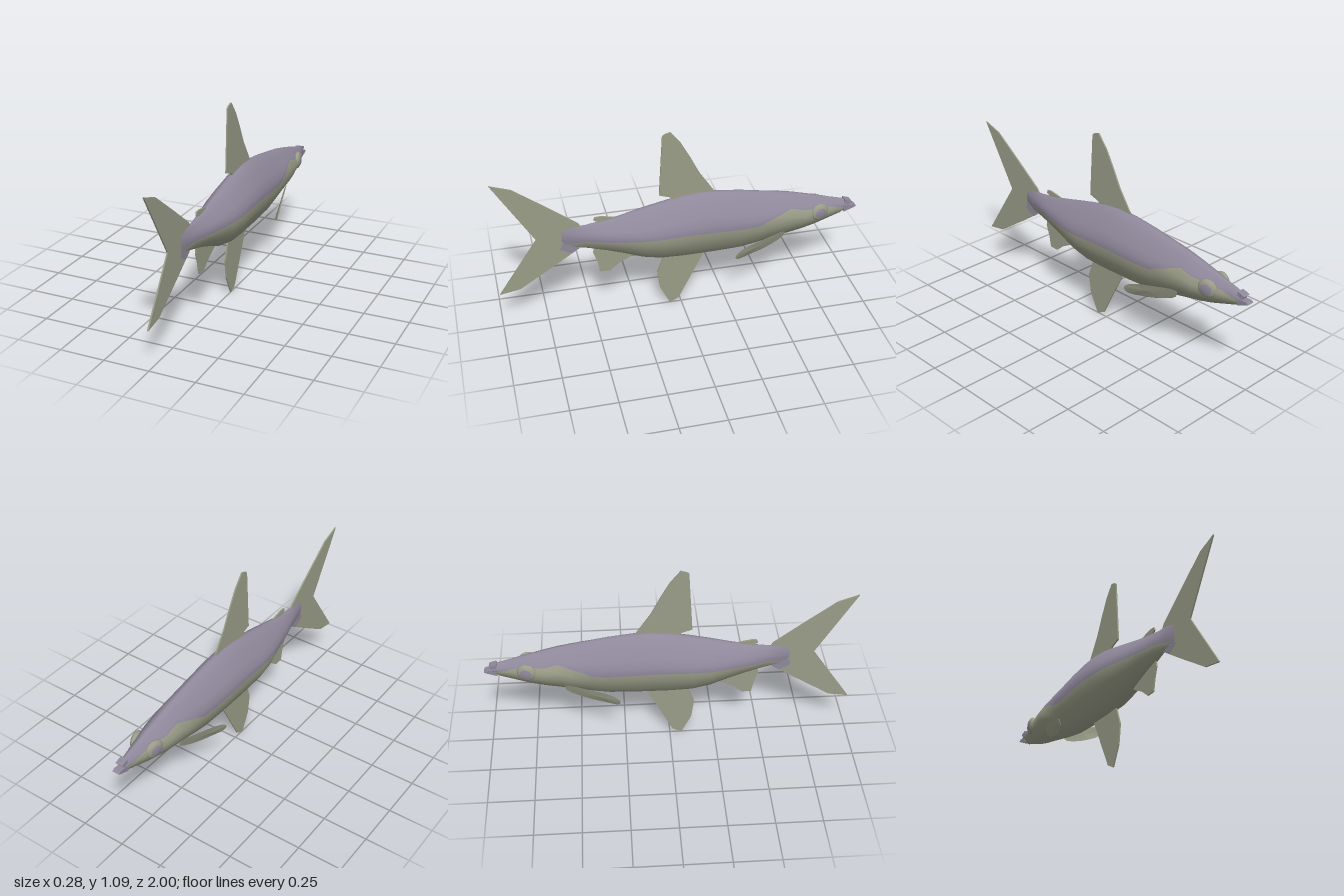
import * as THREE from 'three';

const backColor = new THREE.MeshStandardMaterial({ color: 0x8f889b });
backColor.name = 'mauve back';
const bellyColor = new THREE.MeshStandardMaterial({ color: 0x9a9d88, side: THREE.DoubleSide });
bellyColor.name = 'olive grey belly and fins';

// Straight-line lookup in a short [key, value] table
function lookup(table, k) {
  for (let i = 1; i < table.length; i++) {
    const [k0, v0] = table[i - 1], [k1, v1] = table[i];
    if (k <= k1) return v0 + (v1 - v0) * Math.max(0, (k - k0) / (k1 - k0));
  }
  return table[table.length - 1][1];
}

// Relative width against height above and below the widest line
const UPPER = [[0, 1], [0.17, 0.99], [0.4, 0.8], [0.63, 0.59], [0.86, 0.33], [0.95, 0.2], [1, 0]];
const LOWER = [[0, 1], [0.2, 0.98], [0.4, 0.88], [0.6, 0.69], [0.8, 0.46], [0.93, 0.25], [1, 0]];

// Body stations: z, top, bottom, half width, height of the colour line
const STATIONS = [
  [-0.955, 0.54, 0.485, 0.022, 0.5],
  [-0.91, 0.555, 0.46, 0.03, 0.51],
  [-0.85, 0.57, 0.44, 0.045, 0.53],
  [-0.76, 0.597, 0.41, 0.068, 0.545],
  [-0.68, 0.618, 0.39, 0.083, 0.55],
  [-0.6, 0.638, 0.375, 0.094, 0.572],
  [-0.53, 0.652, 0.36, 0.097, 0.55],
  [-0.47, 0.663, 0.348, 0.1, 0.53],
  [-0.42, 0.672, 0.337, 0.102, 0.505],
  [-0.33, 0.688, 0.322, 0.108, 0.502],
  [-0.2, 0.704, 0.317, 0.114, 0.508],
  [-0.1, 0.709, 0.316, 0.115, 0.512],
  [0, 0.7, 0.316, 0.115, 0.512],
  [0.12, 0.675, 0.322, 0.113, 0.508],
  [0.22, 0.652, 0.345, 0.102, 0.503],
  [0.32, 0.628, 0.385, 0.08, 0.5],
  [0.42, 0.608, 0.42, 0.058, 0.5],
  [0.52, 0.594, 0.448, 0.033, 0.505],
  [0.59, 0.592, 0.465, 0.016, 0.49],
  [0.65, 0.585, 0.49, 0.006, 0.495],
];

// Smooth loft through the stations, back and belly as two material groups
function makeBody() {
  const H = 7, N = 4 * H;
  const pos = [], back = [], belly = [];
  for (const [z, top, bottom, half, split] of STATIONS) {
    const mid = bottom + (top - bottom) * 0.54;
    for (let j = 0; j < N; j++) {
      const side = j <= 2 * H ? 1 : -1;
      const k = side > 0 ? j : N - j;
      const y = k <= H
        ? split + (top - split) * Math.cos((k / H) * Math.PI / 2)
        : split + (bottom - split) * Math.sin(((k - H) / H) * Math.PI / 2);
      const w = y > mid
        ? lookup(UPPER, (y - mid) / (top - mid))
        : lookup(LOWER, (mid - y) / (mid - bottom));
      pos.push(side * half * w, y, z);
    }
  }
  for (let i = 0; i < STATIONS.length - 1; i++) {
    for (let j = 0; j < N; j++) {
      const a = i * N + j, b = i * N + (j + 1) % N, c = a + N, d = b + N;
      (j < H || j >= 3 * H ? back : belly).push(a, c, b, b, c, d);
    }
  }
  // Close both ends
  const last = (STATIONS.length - 1) * N;
  for (let j = 1; j < N - 1; j++) {
    back.push(0, j, j + 1);
    back.push(last, last + j + 1, last + j);
  }
  const g = new THREE.BufferGeometry();
  g.setAttribute('position', new THREE.Float32BufferAttribute(pos, 3));
  g.setIndex([...back, ...belly]);
  g.addGroup(0, back.length, 0);
  g.addGroup(back.length, belly.length, 1);
  g.computeVertexNormals();
  return new THREE.Mesh(g, [backColor, bellyColor]);
}

// Flat plate on the centre plane from a (z, y) outline
function plate(name, outline, thickness, material) {
  const shape = new THREE.Shape(outline.map(([z, y]) => new THREE.Vector2(z, y)));
  const g = new THREE.ExtrudeGeometry(shape, { depth: thickness, bevelEnabled: false });
  g.translate(0, 0, -thickness / 2).rotateY(-Math.PI / 2);
  const mesh = new THREE.Mesh(g, material);
  mesh.name = name;
  return mesh;
}

// Thin side fin, a closed shell around a rounded outline in space
function makePectoral(side) {
  const pts = [
    [0.065, 0.425, -0.57], [0.1, 0.418, -0.45], [0.133, 0.388, -0.31], [0.137, 0.355, -0.275],
    [0.122, 0.325, -0.285], [0.098, 0.32, -0.34], [0.07, 0.345, -0.47], [0.055, 0.385, -0.56],
  ].map(([x, y, z]) => new THREE.Vector3(side * x, y, z));
  const ring = new THREE.CatmullRomCurve3(pts, true).getPoints(24).slice(0, 24);
  const n = ring.length, pos = [], idx = [];
  for (const s of [1, -1]) {
    for (const p of ring) pos.push(p.x + side * s * 0.003, p.y + s * 0.002, p.z);
    pos.push(side * (0.098 + s * 0.005), 0.372 + s * 0.003, -0.41);
  }
  const tri = (a, b, c) => (side > 0 ? idx.push(a, b, c) : idx.push(a, c, b));
  for (let i = 0; i < n; i++) {
    const k = (i + 1) % n, o = n + 1;
    tri(n, k, i);
    tri(o + n, o + i, o + k);
    tri(i, k, o + i);
    tri(k, o + k, o + i);
  }
  let g = new THREE.BufferGeometry();
  g.setAttribute('position', new THREE.Float32BufferAttribute(pos, 3));
  g.setIndex(idx);
  g = g.toNonIndexed();
  g.computeVertexNormals();
  return new THREE.Mesh(g, bellyColor);
}

// Bulging eye with a thin darker pupil cap
function makeEye(side) {
  const eye = new THREE.Group();
  const ball = new THREE.Mesh(new THREE.SphereGeometry(1, 20, 14), bellyColor);
  ball.name = 'eyeball';
  const pupil = new THREE.Mesh(new THREE.SphereGeometry(1.03, 20, 6, 0, Math.PI * 2, 0, 0.62), backColor);
  pupil.name = 'pupil';
  eye.add(ball, pupil);
  eye.scale.set(0.05, 0.023, 0.054);
  eye.rotation.set(0, side * 0.2, -side * Math.PI / 2, 'YXZ');
  eye.position.set(side * 0.056, 0.518, -0.77);
  return eye;
}

export function createModel() {
  const fish = new THREE.Group();
  fish.name = 'fish';
  const body = makeBody();
  body.name = 'body';
  fish.add(body);

  // Lips with the open notch between them
  fish.add(
    plate('upperLip', [[-0.93, 0.517], [-0.955, 0.518], [-0.972, 0.534], [-0.96, 0.541], [-0.93, 0.55]], 0.042, backColor),
    plate('lowerLip', [[-0.93, 0.474], [-0.985, 0.494], [-1, 0.502], [-0.985, 0.51], [-0.93, 0.512]], 0.042, backColor),
  );

  // Fins on the centre line
  const fins = {
    dorsalFin: [[0.12, 0.72], [0.1, 1.07], [0.09, 1.08], [0.056, 1.09], [0, 1.02], [-0.05, 0.93],
      [-0.1, 0.83], [-0.18, 0.71], [-0.15, 0.67], [0.03, 0.67], [0.06, 0.7]],
    ventralFin: [[0.08, 0.36], [0.105, 0.31], [0.135, 0.225], [0.12, 0.115], [0.065, 0.004],
      [0.015, 0.03], [-0.06, 0.18], [-0.13, 0.32], [-0.11, 0.36]],
    adiposeFin: [[0.46, 0.58], [0.455, 0.605], [0.475, 0.615], [0.47, 0.633], [0.44, 0.635],
      [0.38, 0.624], [0.33, 0.61], [0.34, 0.58]],
    analFin: [[0.48, 0.46], [0.485, 0.41], [0.465, 0.35], [0.452, 0.282], [0.4, 0.28],
      [0.35, 0.32], [0.265, 0.365], [0.28, 0.41]],
    tailFin: [[0.54, 0.58], [0.56, 0.612], [0.72, 0.735], [0.89, 0.862], [1, 0.9], [0.785, 0.54],
      [1, 0.22], [0.89, 0.238], [0.7, 0.36], [0.545, 0.463], [0.52, 0.5]],
  };
  for (const [name, outline] of Object.entries(fins)) fish.add(plate(name, outline, 0.008, bellyColor));

  // Mauve patch at the lower tail root
  fish.add(plate('tailRootPatch', [[0.65, 0.5], [0.66, 0.46], [0.6, 0.426], [0.56, 0.453], [0.58, 0.48]], 0.0095, backColor));

  for (const side of [1, -1]) {
    const label = side > 0 ? 'left' : 'right';
    const fin = makePectoral(side);
    fin.name = label + 'PectoralFin';
    const eye = makeEye(side);
    eye.name = label + 'Eye';
    fish.add(fin, eye);
  }
  return fish;
}
